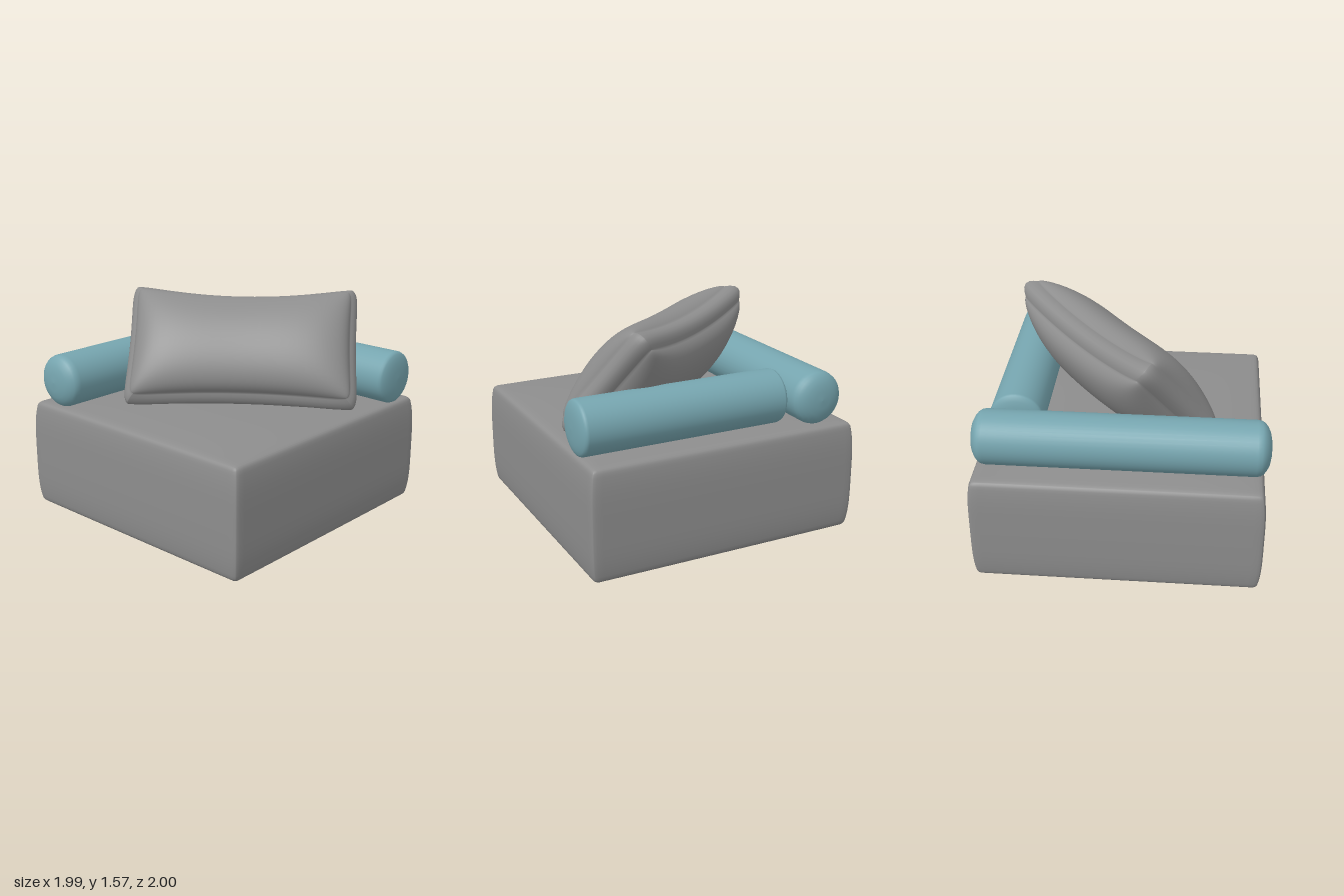
import * as THREE from 'three';
import { mergeVertices } from 'three/addons/utils/BufferGeometryUtils.js';

const grey = new THREE.MeshStandardMaterial({ color: 0x8d8d8d });
grey.name = 'grey fabric';
const teal = new THREE.MeshStandardMaterial({ color: 0x76a5af });
teal.name = 'teal fabric';

// Unit cube grid (-1..1), denser near the edges, with its vertices moved by a rule
function softBox(nx, ny, nz, rule) {
  let geo = new THREE.BoxGeometry(2, 2, 2, nx, ny, nz);
  geo.deleteAttribute('uv');
  geo.deleteAttribute('normal');
  geo = mergeVertices(geo);
  const pos = geo.attributes.position;
  const p = new THREE.Vector3();
  for (let i = 0; i < pos.count; i++) {
    p.fromBufferAttribute(pos, i);
    p.set(...p.toArray().map((s) => Math.sin((s * Math.PI) / 2)));
    rule(p);
    pos.setXYZ(i, p.x, p.y, p.z);
  }
  geo.computeVertexNormals();
  return geo;
}

function add(group, geo, material, name) {
  const mesh = new THREE.Mesh(geo, material);
  mesh.name = name;
  group.add(mesh);
  return mesh;
}

// Seat block: rounded edges, every face slightly swollen
function seatGeometry() {
  const half = new THREE.Vector3(0.96, 0.39, 0.965);
  const r = 0.03;
  const limit = half.clone().subScalar(r);
  const inner = new THREE.Vector3();
  return softBox(24, 24, 24, (p) => {
    const [fx, fy, fz] = p.toArray().map((s) => 1 - s ** 4);
    p.multiply(half);
    inner.copy(p).clamp(limit.clone().negate(), limit);
    p.sub(inner);
    p.setLength(Math.max(...p.toArray().map(Math.abs))).add(inner);
    p.x += (p.x / half.x) * 0.025 * fy;
    p.z += (p.z / half.z) * 0.025 * fy;
    p.y += (p.y / half.y) * 0.03 * fx * fz;
  });
}

// Bolster: lathe along y with softly domed ends
function bolsterGeometry(length, cap) {
  const r = 0.187;
  const h = length / 2;
  const end = [[0, 0], [0.06, 0.04], [0.11, 0.16], [0.145, 0.36], [0.168, 0.58], [0.181, 0.8], [r, 1.15]];
  const low = end.map(([x, d]) => new THREE.Vector2(x, -h + d * cap));
  const high = end.map(([x, d]) => new THREE.Vector2(x, h - d * cap)).reverse();
  return new THREE.LatheGeometry([...low, ...high], 40);
}

// Pillow: puffed middle, thick rounded rims, flattened where it rests
function pillowGeometry() {
  const along = new THREE.Vector3(0.61, 0, 0.79).normalize();
  const up = new THREE.Vector3(0.51, 0.766, -0.404);
  const out = new THREE.Vector3().crossVectors(along, up).normalize();
  up.crossVectors(out, along);
  const centre = new THREE.Vector3(0.085, 1.2, 0.08);
  return softBox(36, 28, 8, (p) => {
    const { x: u, y: v, z: w } = p;
    const puff = Math.max(0, 1 - u ** 4) ** 0.6 * Math.max(0, 1 - v ** 2) ** 0.6;
    const thick = 0.075 + 0.2 * puff;
    // Rounded corners and rims, with the long edges drawn in at the middle
    const corner = 1 - 0.05 * u ** 8 * v ** 8;
    const rim = 0.05 * w * w;
    const a = u * corner * (0.83 - rim * u ** 4 - 0.02 * (1 - v * v));
    const b = v * corner * (0.485 - rim * v ** 4 - 0.065 * (1 - u * u));
    // The middle sags backwards a little
    const c = w * thick - 0.045 * (1 - u * u);
    p.copy(centre).addScaledVector(along, a).addScaledVector(up, b).addScaledVector(out, c);
    p.y = Math.max(p.y, 0.835);
  });
}

export function createModel() {
  const model = new THREE.Group();
  model.name = 'lounge seat';

  add(model, seatGeometry(), grey, 'seatBlock').position.set(0.007, 0.42, -0.01);

  const back = add(model, bolsterGeometry(1.98, 0.085), teal, 'backBolster');
  back.rotation.z = Math.PI / 2;
  back.position.set(-0.008, 1.008, -0.717);

  const side = add(model, bolsterGeometry(1.515, 0.045), teal, 'sideBolster');
  side.rotation.x = Math.PI / 2;
  side.position.set(0.725, 1.008, 0.238);

  add(model, pillowGeometry(), grey, 'pillow');
  return model;
}
